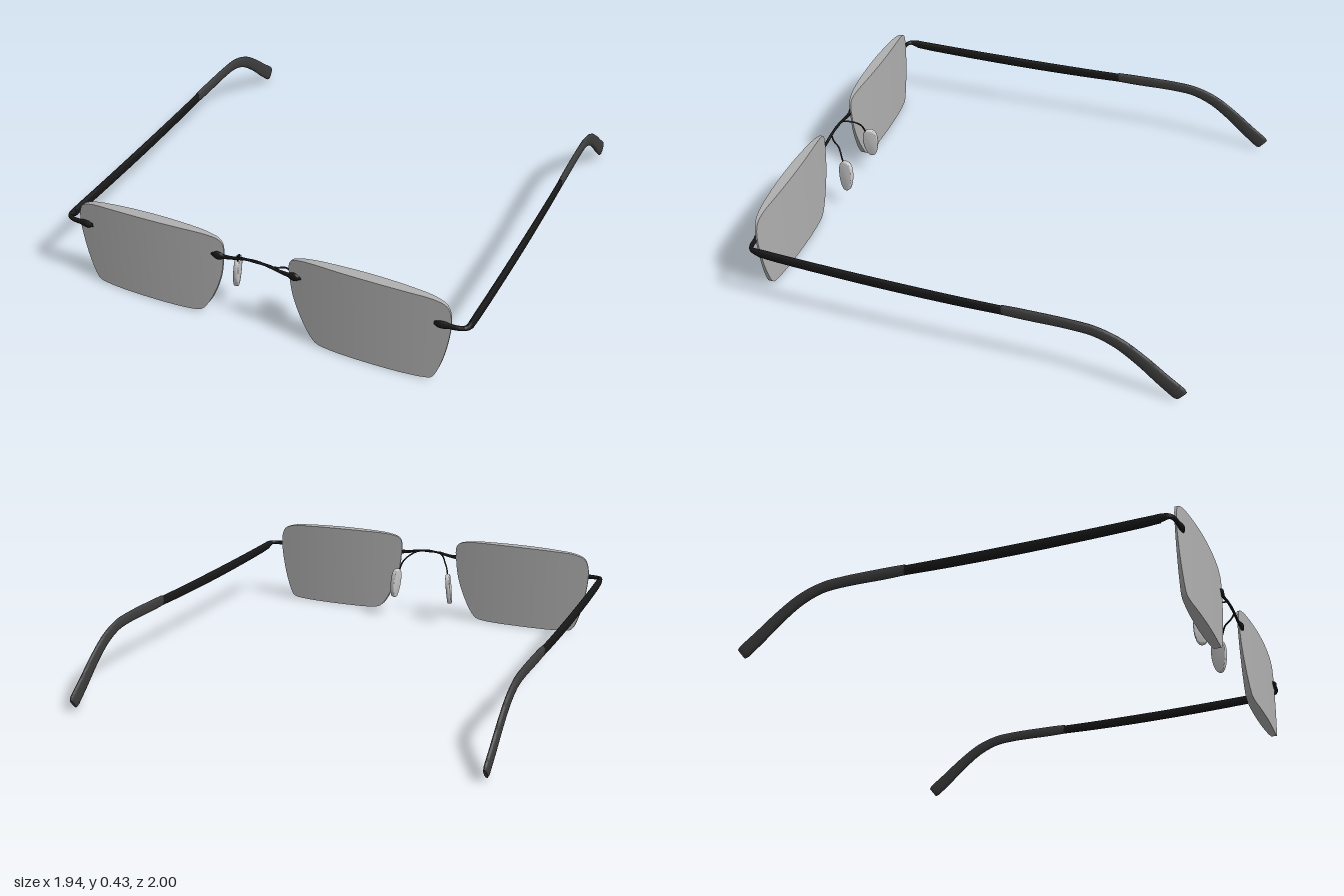
import * as THREE from 'three';
import { toCreasedNormals } from 'three/addons/utils/BufferGeometryUtils.js';

const lensMat = new THREE.MeshStandardMaterial({ color: 0xb0b0b0 });
const padMat = new THREE.MeshStandardMaterial({ color: 0xcccccc });
const metalMat = new THREE.MeshStandardMaterial({ color: 0x161616 });
const tipMat = new THREE.MeshStandardMaterial({ color: 0x3c3c3c });

const V = (x, y, z) => new THREE.Vector3(x, y, z);

function named(name, geometry, material) {
  const mesh = new THREE.Mesh(geometry, material);
  mesh.name = name;
  return mesh;
}

function indexed(pos, idx, crease) {
  const g = new THREE.BufferGeometry();
  g.setAttribute('position', new THREE.Float32BufferAttribute(pos, 3));
  g.setIndex(idx);
  return toCreasedNormals(g, crease);
}

// Sweep a rounded section along stations [x, y, z, width, height]
function sweep(stations, steps = 40, sides = 16, power = 0.8) {
  const path = new THREE.CatmullRomCurve3(stations.map(s => V(s[0], s[1], s[2])), false, 'centripetal');
  const sizes = new THREE.CatmullRomCurve3(stations.map(s => V(s[3], s[4], 0)));
  const soft = v => Math.sign(v) * Math.abs(v) ** power;
  const pos = [], idx = [];
  for (let i = 0; i <= steps; i++) {
    const p = path.getPoint(i / steps), t = path.getTangent(i / steps), d = sizes.getPoint(i / steps);
    const side = t.clone().cross(V(0, 1, 0)).normalize();
    const up = side.clone().cross(t);
    for (let j = 0; j < sides; j++) {
      const a = j / sides * Math.PI * 2;
      const q = p.clone().addScaledVector(side, soft(Math.cos(a)) * d.x / 2)
        .addScaledVector(up, soft(Math.sin(a)) * d.y / 2);
      pos.push(q.x, q.y, q.z);
    }
  }
  for (let i = 0; i < steps; i++) for (let j = 0; j < sides; j++) {
    const a = i * sides + j, b = i * sides + (j + 1) % sides;
    idx.push(a, a + sides, b, b, a + sides, b + sides);
  }
  const last = steps * sides;
  for (let j = 1; j < sides - 1; j++) {
    idx.push(0, j, j + 1, last, last + j + 1, last + j);
  }
  return indexed(pos, idx, 0.9);
}

// Lens: outline filled with shrinking rings, bulging front and back across its width
function lensGeometry() {
  const outline = new THREE.CatmullRomCurve3([
    [0.155, 0.385], [0.17, 0.411], [0.22, 0.426], [0.4, 0.432], [0.7, 0.427], [0.8, 0.419],
    [0.85, 0.4], [0.869, 0.365], [0.874, 0.3], [0.862, 0.2], [0.842, 0.11], [0.815, 0.035],
    [0.8, 0.015], [0.77, 0.007], [0.53, 0.002], [0.3, 0.009], [0.272, 0.02], [0.24, 0.06],
    [0.2, 0.14], [0.17, 0.23], [0.158, 0.31],
  ].map(p => V(p[0], p[1], 0)), true, 'centripetal').getPoints(120).slice(0, -1);
  const n = outline.length, rings = 8, cx = 0.515, cy = 0.23;
  const pos = [], idx = [];
  for (let k = 0; k < 2 * rings + 2; k++) {
    const front = k <= rings;
    const r = (front ? k : 2 * rings + 1 - k) / rings;
    for (const p of outline) {
      const x = cx + (p.x - cx) * r, y = cy + (p.y - cy) * r;
      const u = ((x - cx) / 0.36) ** 2;
      pos.push(x, y, front ? 1 - 0.022 * u : 0.95 + 0.02 * u);
    }
  }
  for (let k = 0; k < 2 * rings + 1; k++) for (let j = 0; j < n; j++) {
    const a = k * n + j, b = k * n + (j + 1) % n;
    if (k > 0) idx.push(a, b, a + n);
    if (k < 2 * rings) idx.push(b, b + n, a + n);
  }
  return indexed(pos, idx, 0.6);
}

// Egg-shaped nose pad with softened edges
function padGeometry() {
  const pts = [];
  for (let i = 0; i < 40; i++) {
    const a = i / 40 * Math.PI * 2, s = Math.sin(a), c = Math.cos(a);
    pts.push(new THREE.Vector2(Math.sign(c) * Math.abs(c) ** 0.8 * (0.032 + 0.006 * s), 0.075 * s));
  }
  const g = new THREE.ExtrudeGeometry(new THREE.Shape(pts), {
    depth: 0.01, bevelThickness: 0.006, bevelSize: 0.005, bevelSegments: 3,
  });
  g.translate(0, 0, -0.005);
  g.rotateY(Math.PI / 2 - 0.22);
  g.rotateZ(0.1);
  return toCreasedNormals(g, 0.7);
}

function createSide(name) {
  const side = new THREE.Group();
  side.name = name;
  side.add(named('lens', lensGeometry(), lensMat));

  // Hinge bar on the lens front, turning the corner into the arm
  side.add(named('endPiece', sweep([
    [0.805, 0.306, 0.986, 0.012, 0.018], [0.815, 0.306, 0.986, 0.018, 0.022], [0.87, 0.306, 0.984, 0.018, 0.022],
    [0.915, 0.307, 0.979, 0.018, 0.02], [0.936, 0.307, 0.966, 0.02, 0.022],
    [0.942, 0.304, 0.94, 0.022, 0.034], [0.943, 0.3, 0.91, 0.022, 0.042],
  ], 48), metalMat));

  side.add(named('arm', sweep([
    [0.942, 0.301, 0.93, 0.024, 0.04], [0.944, 0.297, 0.85, 0.025, 0.044], [0.949, 0.29, 0.6, 0.025, 0.047],
    [0.954, 0.286, 0.3, 0.024, 0.049], [0.958, 0.287, 0, 0.022, 0.048], [0.96, 0.291, -0.2, 0.021, 0.045],
  ]), metalMat));

  side.add(named('armTip', sweep([
    [0.96, 0.293, -0.197, 0.021, 0.05], [0.96, 0.294, -0.3, 0.022, 0.054], [0.961, 0.295, -0.5, 0.022, 0.052],
    [0.961, 0.286, -0.6, 0.022, 0.053], [0.961, 0.25, -0.7, 0.022, 0.058], [0.961, 0.183, -0.8, 0.022, 0.063],
    [0.961, 0.1, -0.9, 0.022, 0.07], [0.961, 0.047, -0.967, 0.021, 0.074], [0.961, 0.034, -0.983, 0.016, 0.062],
  ], 60), tipMat));

  // Nose pad and its wire from the bridge
  const pad = named('nosePad', padGeometry(), padMat);
  pad.position.set(0.151, 0.185, 0.875);
  side.add(pad);
  const wire = new THREE.CatmullRomCurve3([
    V(0.065, 0.345, 0.978), V(0.09, 0.332, 0.955), V(0.11, 0.316, 0.922),
    V(0.127, 0.29, 0.905), V(0.137, 0.255, 0.893), V(0.146, 0.22, 0.878),
  ]);
  side.add(named('padWire', new THREE.TubeGeometry(wire, 32, 0.004, 8), metalMat));
  return side;
}

export function createModel() {
  const model = new THREE.Group();
  model.name = 'rimlessGlasses';
  const left = createSide('leftSide'), right = createSide('rightSide');
  right.scale.x = -1;
  model.add(left, right);

  // Arched bridge with thicker ends lying on the lenses
  const half = [
    [0.212, 0.333, 0.982, 0.008, 0.012], [0.2, 0.333, 0.982, 0.014, 0.021], [0.155, 0.333, 0.981, 0.014, 0.021],
    [0.115, 0.337, 0.98, 0.012, 0.015], [0.06, 0.348, 0.979, 0.012, 0.014],
  ];
  const mirrored = half.map(([x, ...rest]) => [-x, ...rest]).reverse();
  model.add(named('bridge', sweep([...half, [0, 0.352, 0.979, 0.012, 0.014], ...mirrored], 60), metalMat));
  return model;
}
